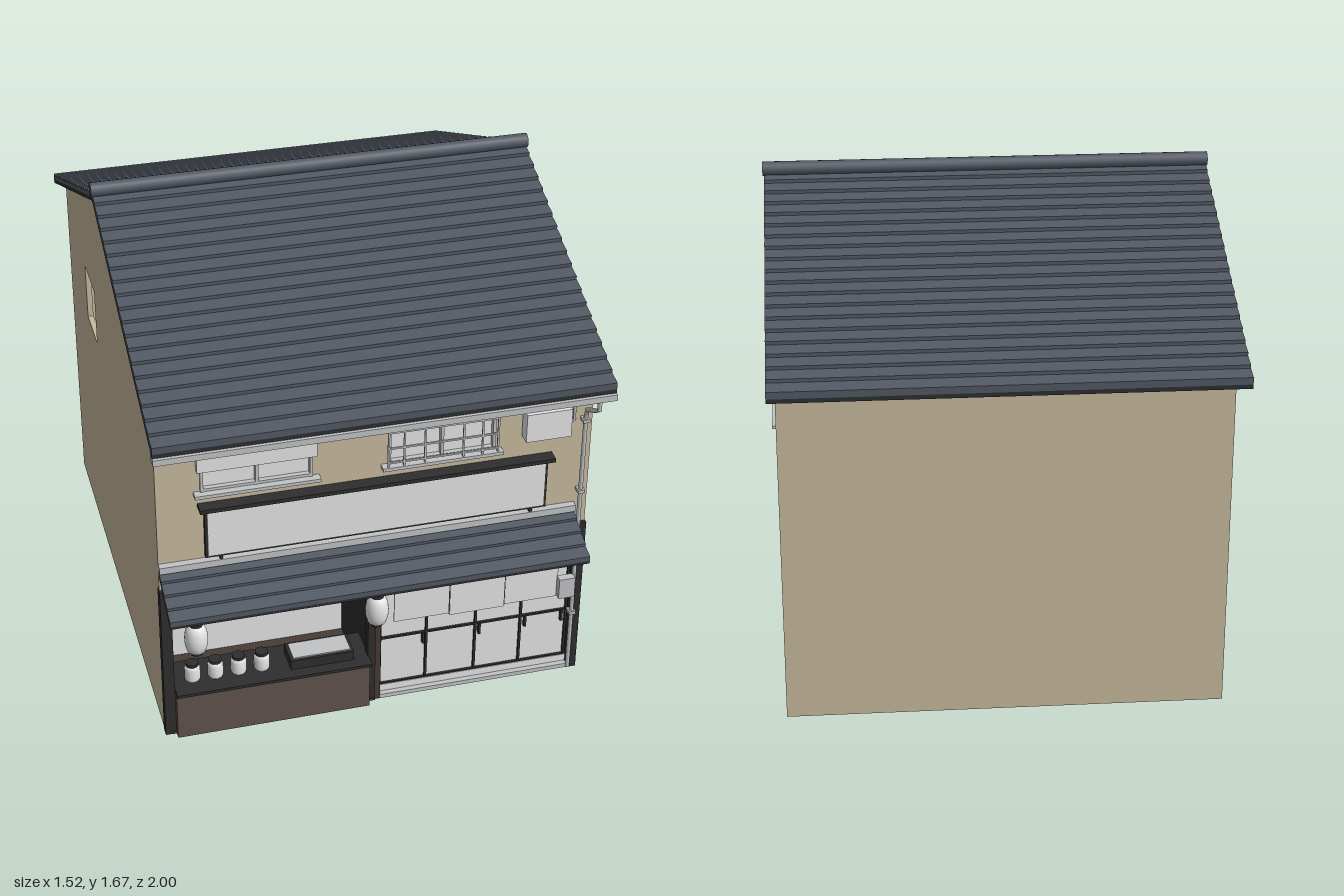
import * as THREE from 'three';

const mat = (name, color, extra = {}) => {
  const m = new THREE.MeshStandardMaterial({ color, ...extra });
  m.name = name;
  return m;
};
const M = {
  wall: mat('beige plaster', 0xc8bb9e),
  tile: mat('slate tile', 0x525963),
  under: mat('dark roof edge', 0x2c2e33),
  frame: mat('charcoal frame', 0x2f2e2e),
  brown: mat('counter brown', 0x62534d),
  beam: mat('dark brown wood', 0x493a35),
  pale: mat('pale panel', 0xe6e6e6),
  metal: mat('light metal', 0xc2c4c6),
};

export function createModel() {
  const root = new THREE.Group();
  root.name = 'shopHouse';
  const add = (name, material, geometry, x = 0, y = 0, z = 0) => {
    const mesh = new THREE.Mesh(geometry, material);
    mesh.name = name;
    mesh.position.set(x, y, z);
    root.add(mesh);
    return mesh;
  };
  // Box given by its limits on each axis
  const box = (name, m, x0, x1, y0, y1, z0, z1) =>
    add(name, m, new THREE.BoxGeometry(x1 - x0, y1 - y0, z1 - z0), (x0 + x1) / 2, (y0 + y1) / 2, (z0 + z1) / 2);
  const cyl = (name, m, r, h, x, y, z, n = 16, rTop = r) =>
    add(name, m, new THREE.CylinderGeometry(rTop, r, h, n), x, y, z);
  const rod = (name, m, r, points) => {
    const path = new THREE.CurvePath();
    for (let i = 1; i < points.length; i++) {
      path.add(new THREE.LineCurve3(new THREE.Vector3(...points[i - 1]), new THREE.Vector3(...points[i])));
    }
    return add(name, m, new THREE.TubeGeometry(path, 32, r, 8));
  };
  const polygon = pts => new THREE.Shape(pts.map(p => new THREE.Vector2(...p)));
  const hole = (x0, x1, y0, y1) => new THREE.Path([[x0, y0], [x0, y1], [x1, y1], [x1, y0]].map(p => new THREE.Vector2(...p)));
  // Extrudes a (z, y) outline along x
  const alongX = (name, m, shape, x0, x1) => {
    const g = new THREE.ExtrudeGeometry(shape, { depth: x1 - x0, bevelEnabled: false });
    g.rotateY(-Math.PI / 2);
    return add(name, m, g, x1, 0, 0);
  };

  // Walls: gable sides with a window opening, back, and upper front
  for (const [name, x0] of [['rightWall', -0.735], ['leftWall', 0.71]]) {
    const gable = polygon([[-0.86, 0], [0.82, 0], [0.82, 1.255], [-0.02, 1.608], [-0.86, 1.255]]);
    gable.holes.push(hole(-0.475, -0.28, 0.9, 1.11));
    alongX(name, M.wall, gable, x0, x0 + 0.02);
  }
  box('backWall', M.wall, -0.715, 0.71, 0, 1.255, -0.86, -0.84);
  const front = polygon([[-0.715, 0.56], [0.71, 0.56], [0.71, 1.255], [-0.715, 1.255]]);
  front.holes.push(hole(-0.59, -0.22, 0.965, 1.165), hole(0.03, 0.395, 0.97, 1.165));
  add('frontWall', M.wall, new THREE.ExtrudeGeometry(front, { depth: 0.02, bevelEnabled: false }), 0, 0, 0.8);

  // Stepped tile slope over a dark underlay
  const slope = (name, z0, y0, z1, y1, rows, thick, step, xa, xb) => {
    const at = (t, h) => [z0 + (z1 - z0) * t, y0 + (y1 - y0) * t + h];
    const pts = [at(0, thick * 0.55)];
    for (let i = 0; i < rows; i++) pts.push(at(i / rows, thick), at((i + 1) / rows, thick + step));
    pts.push(at(1, thick * 0.55));
    alongX(name + 'Tiles', M.tile, polygon(pts), xa, xb);
    alongX(name + 'Underlay', M.under, polygon([at(0, 0), at(0, thick * 0.55), at(1, thick * 0.55), at(1, 0)]), xa, xb);
  };
  slope('frontRoof', -0.02, 1.605, 0.945, 1.2, 19, 0.026, 0.012, -0.76, 0.755);
  slope('backRoof', -0.02, 1.605, -1, 1.193, 19, 0.026, 0.012, -0.76, 0.755);
  cyl('ridgeCap', M.tile, 0.025, 1.525, -0.0025, 1.645, -0.02).rotation.z = Math.PI / 2;
  slope('awning', 0.82, 0.66, 1, 0.575, 4, 0.018, 0.01, -0.735, 0.685);
  box('awningFlashing', M.metal, -0.735, 0.685, 0.68, 0.705, 0.82, 0.845);

  // Gutter and downpipe
  box('gutter', M.metal, -0.76, 0.755, 1.178, 1.2, 0.915, 0.957);
  rod('downpipe', M.metal, 0.008, [[0.7, 1.18, 0.945], [0.7, 1.14, 0.945], [0.7, 1.08, 0.838], [0.7, 0.01, 0.838]]);
  for (const y of [1.04, 0.76, 0.25]) box('pipeClip', M.metal, 0.688, 0.712, y - 0.006, y + 0.006, 0.82, 0.85);

  // Air conditioner with hose
  box('airConditioner', M.pale, 0.485, 0.64, 1.005, 1.11, 0.825, 0.87);
  rod('airHose', M.metal, 0.005, [[0.63, 1.04, 0.83], [0.663, 1.04, 0.83], [0.663, 1.19, 0.83]]);

  // Upper windows: panes, sash rims and sills
  const frontWindow = (x0, x1, y0, y1) => {
    const mid = (x0 + x1) / 2;
    box('windowPane', M.pale, x0, x1, y0, y1, 0.803, 0.809);
    for (const x of [x0, mid - 0.005, x1 - 0.01]) box('windowStile', M.metal, x, x + 0.01, y0, y1, 0.809, 0.828);
    for (const y of [y0, y1 - 0.01]) box('windowRail', M.metal, x0, x1, y, y + 0.01, 0.809, 0.826);
    box('windowSill', M.metal, x0 - 0.022, x1 + 0.022, y0 - 0.012, y0, 0.81, 0.85);
  };
  frontWindow(-0.59, -0.22, 0.967, 1.165);
  frontWindow(0.03, 0.395, 0.969, 1.165);
  box('windowShutter', M.pale, -0.602, -0.21, 1.05, 1.175, 0.82, 0.842);
  for (const y of [0.985, 1.04, 1.1]) box('railingBar', M.metal, 0.025, 0.4, y - 0.003, y + 0.003, 0.84, 0.846);
  for (const x of [0.027, 0.08, 0.15, 0.28, 0.345, 0.398]) box('railingPost', M.metal, x - 0.003, x + 0.003, 0.97, 1.1, 0.84, 0.846);

  // Side window
  box('sidePane', M.pale, 0.714, 0.72, 0.9, 1.11, -0.475, -0.28);
  for (const z of [-0.475, -0.382, -0.288]) box('sideStile', M.metal, 0.72, 0.736, 0.9, 1.11, z, z + 0.008);
  for (const y of [0.9, 1.102]) box('sideRail', M.metal, 0.72, 0.736, y, y + 0.008, -0.475, -0.28);
  box('sideSill', M.metal, 0.72, 0.75, 0.89, 0.9, -0.5, -0.255);

  // Blank sign board
  box('signBack', M.frame, -0.582, 0.577, 0.718, 0.907, 0.825, 0.842);
  box('signFace', M.pale, -0.574, 0.569, 0.726, 0.905, 0.842, 0.847);
  box('signHood', M.frame, -0.6, 0.595, 0.907, 0.921, 0.82, 0.865);
  for (const x of [-0.53, 0.525]) box('signFoot', M.frame, x - 0.005, x + 0.005, 0.695, 0.72, 0.822, 0.842);

  // Ground floor posts and beam
  box('rightPost', M.frame, -0.737, -0.7, 0, 0.6, 0.8, 0.836);
  box('leftPost', M.frame, 0.697, 0.732, 0, 0.62, 0.8, 0.834);
  box('middlePost', M.frame, -0.03, -0.003, 0, 0.545, 0.8, 0.836);
  box('doorPost', M.beam, -0.003, 0.017, 0, 0.545, 0.8, 0.832);
  box('beam', M.beam, -0.7, 0.697, 0.54, 0.57, 0.8, 0.834);

  // Recessed stall
  box('stallFloor', M.beam, -0.713, -0.003, 0.002, 0.012, 0.43, 0.84);
  box('stallBack', M.pale, -0.713, -0.003, 0.012, 0.545, 0.43, 0.44);
  box('stallRightSide', M.frame, -0.713, -0.7, 0.012, 0.545, 0.44, 0.8);
  box('stallLeftSide', M.frame, -0.015, -0.003, 0.012, 0.545, 0.44, 0.8);
  box('stallCeiling', M.frame, -0.713, -0.003, 0.545, 0.555, 0.43, 0.8);
  box('counter', M.brown, -0.7, -0.03, 0.004, 0.185, 0.72, 0.865);
  box('counterTop', M.frame, -0.7, -0.025, 0.185, 0.196, 0.7, 0.88);
  for (const x of [-0.632, -0.553, -0.473, -0.393]) {
    const jar = [[0, 0], [0.024, 0], [0.027, 0.006], [0.027, 0.048], [0.02, 0.06], [0, 0.06]].map(p => new THREE.Vector2(...p));
    add('jar', M.pale, new THREE.LatheGeometry(jar, 20), x, 0.196, 0.8);
    cyl('jarLid', M.frame, 0.022, 0.01, x, 0.261, 0.8);
  }
  box('grillTray', M.frame, -0.3, -0.08, 0.196, 0.232, 0.74, 0.84);
  box('grillRack', M.metal, -0.29, -0.09, 0.232, 0.237, 0.75, 0.83);

  // Sliding doors: four panels with frames and handles
  box('doorPanes', M.pale, 0.017, 0.697, 0.03, 0.53, 0.8, 0.806);
  box('doorSill', M.metal, 0.017, 0.697, 0.002, 0.018, 0.78, 0.835);
  box('doorBottomRail', M.pale, 0.017, 0.697, 0.018, 0.045, 0.8, 0.816);
  box('doorHead', M.frame, 0.017, 0.697, 0.525, 0.54, 0.8, 0.82);
  box('doorMidRail', M.frame, 0.017, 0.697, 0.24, 0.247, 0.797, 0.814);
  box('doorSillLine', M.frame, 0.017, 0.697, 0.045, 0.05, 0.797, 0.814);
  for (const x of [0.019, 0.184, 0.36, 0.524, 0.69]) box('doorStile', M.frame, x - 0.004, x + 0.004, 0.018, 0.525, 0.796, 0.815);
  for (const x of [0.172, 0.374, 0.54, 0.673]) box('doorHandle', M.frame, x - 0.004, x + 0.004, 0.2, 0.245, 0.806, 0.82);

  // Hanging cloth panels and letter box
  rod('clothRod', M.frame, 0.004, [[0.03, 0.528, 0.83], [0.69, 0.528, 0.83]]);
  [[0.062, 0.255, 0.322], [0.259, 0.452, 0.315], [0.456, 0.645, 0.322]].forEach(([a, b, y], i) =>
    box('clothPanel', M.pale, a, b, y, 0.528, 0.825 + 0.002 * (i % 2), 0.83 + 0.002 * (i % 2)));
  for (const x of [0.257, 0.454]) box('clothSlit', M.frame, x - 0.002, x + 0.002, 0.32, 0.5, 0.824, 0.829);
  box('letterBox', M.metal, 0.64, 0.697, 0.332, 0.412, 0.834, 0.862);

  // Paper lanterns hung from the awning
  for (const x of [-0.64, -0.03]) {
    const body = [[0.02, -0.055], [0.031, -0.045], [0.038, -0.02], [0.039, 0.005], [0.036, 0.03], [0.029, 0.048], [0.02, 0.055]]
      .map(p => new THREE.Vector2(...p));
    add('lantern', M.pale, new THREE.LatheGeometry(body, 24), x, 0.473, 0.935);
    cyl('lanternCap', M.frame, 0.022, 0.012, x, 0.533, 0.935);
    cyl('lanternBase', M.frame, 0.02, 0.008, x, 0.416, 0.935);
    cyl('lanternCord', M.frame, 0.002, 0.09, x, 0.58, 0.935, 6);
  }
  return root;
}
